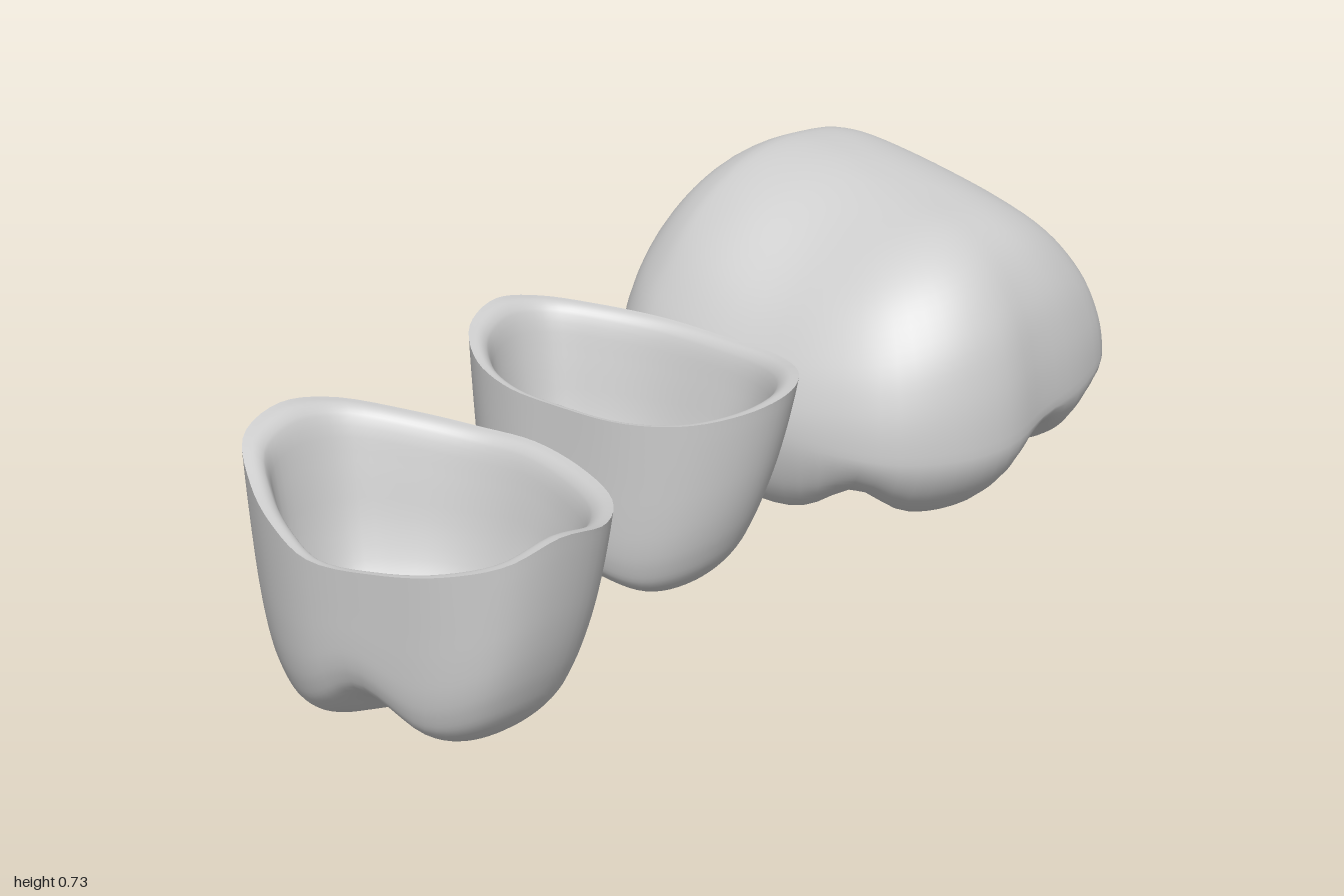
import * as THREE from 'three';
import { mergeVertices } from 'three/addons/utils/BufferGeometryUtils.js';

const SEG = 72;
const bump = (d, w) => Math.exp(-((d / w) ** 2));
const { lerp, smoothstep } = THREE.MathUtils;

// Smooth closed outline from [x, z, height] points, clockwise seen from above
function outline(pts) {
  const curve = new THREE.CatmullRomCurve3(pts.map(([x, z, y = 0]) => new THREE.Vector3(x, y, z)), true);
  return Array.from({ length: SEG }, (_, i) => curve.getPoint(i / SEG));
}

// Loft rings from top to bottom: profile levels are smoothed, place(level, outlinePoint) gives each vertex
function loft(name, ring, levels, rows, place, inward = false) {
  const profile = new THREE.CatmullRomCurve3(levels.map((l) => new THREE.Vector3(...l)));
  const pos = [], index = [];
  for (let r = 0; r <= rows; r++) {
    const level = profile.getPoint(r / rows);
    for (const p of ring) pos.push(...place(level, p));
  }
  for (let r = 0; r < rows; r++) {
    for (let i = 0; i < SEG; i++) {
      const a = r * SEG + i, b = r * SEG + (i + 1) % SEG, c = a + SEG, d = b + SEG;
      if (inward) index.push(a, c, b, b, c, d);
      else index.push(a, b, c, b, d, c);
    }
  }
  let geo = new THREE.BufferGeometry();
  geo.setAttribute('position', new THREE.Float32BufferAttribute(pos, 3));
  geo.setIndex(index);
  geo = mergeVertices(geo, 1e-5);
  geo.computeVertexNormals();
  const mesh = new THREE.Mesh(geo, new THREE.MeshStandardMaterial({ color: 0xcccccc, side: THREE.DoubleSide }));
  mesh.name = name;
  return mesh;
}

// Levels are [blend from rim to base, height fraction, scale]
const OUTER = [[0, 1, 1], [0.1, 0.85, 1], [0.27, 0.65, 1], [0.5, 0.45, 1], [0.75, 0.28, 0.99], [0.9, 0.17, 0.96],
  [1, 0.08, 0.9], [1, 0.025, 0.78], [1, 0, 0.61], [1, 0, 0.4], [1, 0, 0.2], [1, 0, 0]];
const INNER = [[0, 1, 1], [0, 0.985, 0.93], [0.03, 0.93, 0.88], [0.2, 0.7, 0.85], [0.5, 0.35, 0.83],
  [0.8, 0.1, 0.78], [0.95, 0, 0.66], [1, 0, 0.4], [1, 0, 0]];

// Hollow crown: outer shell with cusps, inner cavity with a lip
function hollowCrown(name, { points, rim, base, scale, floor, cavity }) {
  const group = new THREE.Group();
  group.name = name;
  const ring = outline(points);
  const place = (bottom) => (l, p) => {
    const cx = lerp(rim[0], base[0], l.x), cz = lerp(rim[1], base[1], l.x);
    const x = cx + (p.x - rim[0]) * lerp(1, scale[0], l.x) * l.z;
    const z = cz + (p.z - rim[1]) * lerp(1, scale[1], l.x) * l.z;
    return [x, lerp(bottom(x, z), p.y, l.y), z];
  };
  group.add(loft('crownShell', ring, OUTER, 40, place(floor)));
  group.add(loft('crownCavity', ring, INNER, 32, place(cavity), true));
  return group;
}

export function createModel() {
  const model = new THREE.Group();
  model.name = 'toothCrowns';

  // Front hollow crown
  model.add(hollowCrown('frontCrown', {
    points: [[-0.23, 0.8, 0.5], [-0.21, 0.7, 0.49], [-0.11, 0.6, 0.465], [0, 0.53, 0.445], [0.11, 0.5, 0.44],
      [0.25, 0.51, 0.43], [0.38, 0.56, 0.425], [0.46, 0.65, 0.43], [0.485, 0.77, 0.45], [0.46, 0.86, 0.42],
      [0.38, 0.925, 0.395], [0.25, 0.965, 0.37], [0.1, 0.995, 0.36], [0, 0.99, 0.39], [-0.1, 0.96, 0.425], [-0.2, 0.9, 0.475]],
    rim: [0.128, 0.75], base: [0.145, 0.785], scale: [0.83, 0.84],
    floor: (x, z) => 0.002 + lerp(0.045, 0.075, smoothstep(z, 0.8, 0.93)) * bump(x - 0.17, 0.09)
      + 0.04 * smoothstep(x, 0.1, 0.28) + 3 * Math.max(0, x - 0.28) ** 2 + 1.1 * (z - 0.8) ** 2,
    cavity: (x, z) => 0.15 + 0.025 * bump(x - 0.15, 0.07) - 0.02 * bump(z - 0.78, 0.06),
  }));

  // Middle hollow crown
  model.add(hollowCrown('middleCrown', {
    points: [[-0.37, 0.18, 0.52], [-0.35, 0.09, 0.51], [-0.26, 0.01, 0.495], [-0.14, -0.055, 0.48], [0, -0.085, 0.468],
      [0.15, -0.08, 0.468], [0.26, -0.02, 0.475], [0.31, 0.06, 0.47], [0.305, 0.15, 0.455], [0.25, 0.25, 0.44],
      [0.15, 0.32, 0.435], [0, 0.355, 0.44], [-0.12, 0.37, 0.45], [-0.23, 0.35, 0.47], [-0.33, 0.28, 0.5]],
    rim: [-0.03, 0.145], base: [-0.02, 0.185], scale: [0.8, 0.85],
    floor: (x, z) => 0.02 + lerp(0.03, 0.055, smoothstep(z, 0.2, 0.32)) * bump(x - 0.02, 0.09)
      + 0.045 * smoothstep(x, -0.05, 0.14) + 3 * Math.max(0, x - 0.11) ** 2 + 1.2 * (z - 0.23) ** 2,
    cavity: (x, z) => 0.16 + 0.025 * bump(x, 0.07) - 0.02 * bump(z - 0.18, 0.06),
  }));

  // Large solid molar: levels are [scale, height blend]; 1 is the dome, -1 the chewing face
  const molarRing = outline([[-0.48, -0.4], [-0.475, -0.6], [-0.445, -0.8], [-0.38, -0.91], [-0.2, -0.975], [0, -1],
    [0.14, -0.99], [0.27, -0.93], [0.33, -0.8], [0.36, -0.63], [0.385, -0.5], [0.36, -0.38], [0.28, -0.26],
    [0.15, -0.185], [0, -0.14], [-0.2, -0.11], [-0.32, -0.125], [-0.41, -0.19], [-0.46, -0.28]]);
  const molarLevels = [[0, 1, 0], [0.28, 0.99, 0], [0.55, 0.95, 0], [0.75, 0.85, 0], [0.89, 0.65, 0], [0.97, 0.36, 0],
    [1, 0, 0], [0.98, -0.38, 0], [0.93, -0.68, 0], [0.85, -0.9, 0], [0.74, -1, 0], [0.5, -1, 0], [0.25, -1, 0], [0, -1, 0]];
  const dome = (x, z) => 0.748 - 0.225 * Math.max(0, x + 0.3) - 1.1 * Math.max(0, z + 0.6) ** 2
    - 1.0 * Math.max(0, -0.65 - z) ** 2 - 0.02 * bump(x + 0.02, 0.14) * smoothstep(z, -0.8, -0.3)
    + 0.01 * bump(x - 0.2, 0.1) * bump(z + 0.6, 0.22);
  // Chewing face: central basin, diagonal groove, side groove, front groove, raised back edge and corner
  const chew = (x, z) => 0.045 + 0.12 * bump(x + 0.05, 0.16) * bump(z + 0.5, 0.2)
    + 0.06 * bump((x + 0.05 - z - 0.5) / 1.414, 0.07) + 0.16 * bump(x - 0.22, 0.18) * bump(z + 0.65, 0.09)
    + 0.04 * bump(x + 0.13, 0.1) * smoothstep(z, -0.5, -0.25) + 0.02 * smoothstep(x, -0.1, 0.2)
    + 0.13 * smoothstep(-z, 0.7, 0.92) + 0.09 * smoothstep(-x - z, 0.9, 1.2);
  model.add(loft('molar', molarRing, molarLevels, 64, (l, p) => {
    const low = Math.max(0, -l.y);
    const dent = 0.07 * low * smoothstep(p.x, 0, 0.3) * bump(p.z + 0.66, 0.09);
    const x = -0.08 + (p.x + 0.08) * l.x * (1 - 0.12 * low ** 2 - dent);
    const z = -0.55 + (p.z + 0.55) * l.x;
    const equator = 0.31 - 0.16 * x - 0.1 * (z + 0.55);
    return [x, l.y > 0 ? lerp(equator, dome(x, z), l.y) : lerp(equator, chew(x, z), low), z];
  }));

  return model;
}
